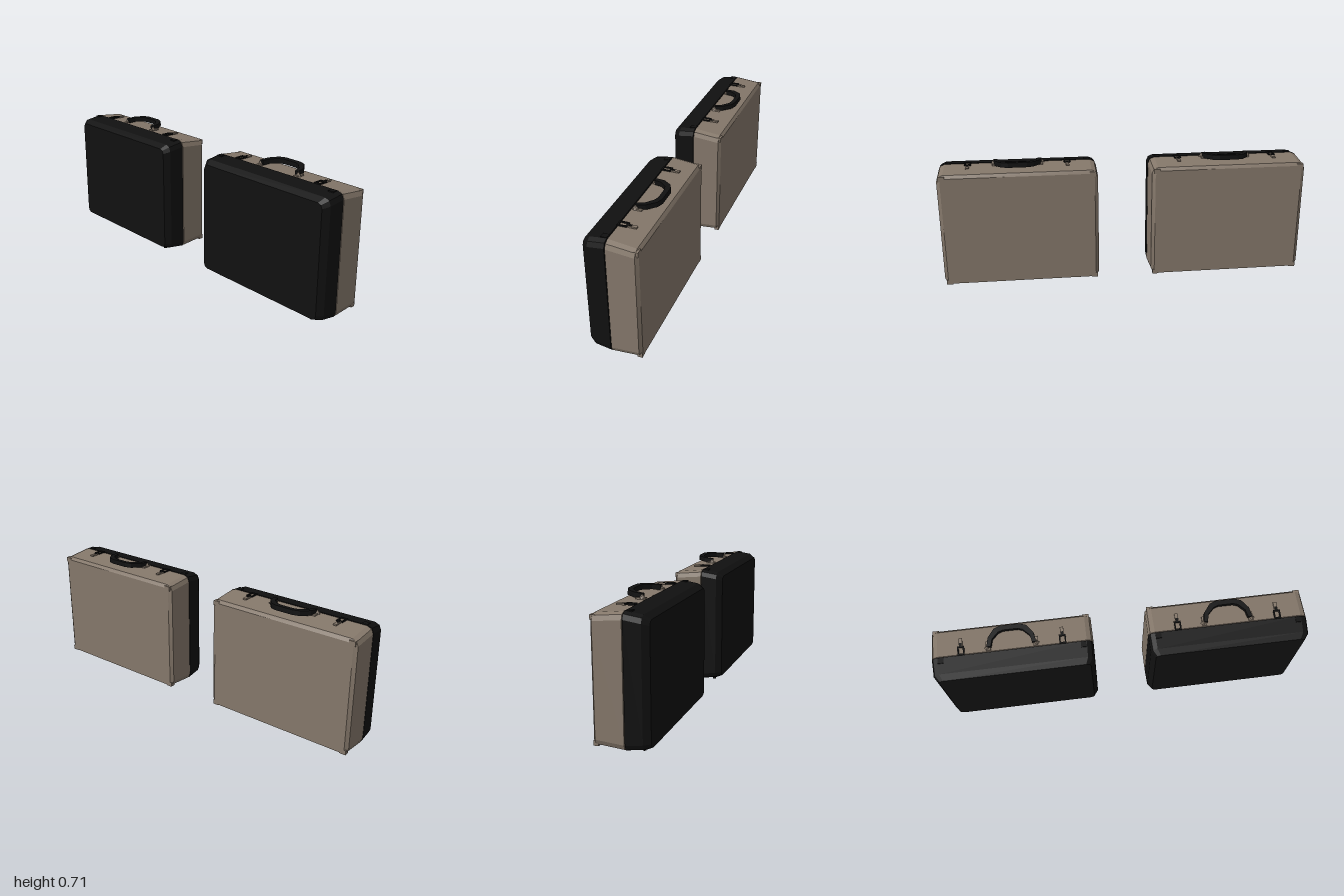
import * as THREE from 'three';
import { toCreasedNormals } from 'three/addons/utils/BufferGeometryUtils.js';

const black = new THREE.MeshStandardMaterial({ color: 0x101010 });
black.name = 'black leather';
const tan = new THREE.MeshStandardMaterial({ color: 0x84776a });
tan.name = 'taupe leather';

// Outline of a rectangle with rounded corners, counter-clockwise seen from +z
function ring({ z, w, y0, y1, r }) {
  const pts = [];
  const corners = [[w - r, y1 - r], [-w + r, y1 - r], [-w + r, y0 + r], [w - r, y0 + r]];
  corners.forEach(([cx, cy], k) => {
    for (let s = 0; s <= 2; s++) {
      const a = (k + s / 2) * Math.PI / 2;
      pts.push([cx + r * Math.cos(a), cy + r * Math.sin(a), z]);
    }
  });
  return pts;
}

// Closed shell lofted through sections ordered by rising z
function loft(sections) {
  const rings = sections.map(ring), n = rings[0].length, last = rings.length - 1;
  const pos = rings.flat(2), idx = [];
  for (let i = 0; i < last; i++) {
    for (let j = 0; j < n; j++) {
      const a = i * n + j, b = i * n + (j + 1) % n;
      idx.push(a, b, b + n, a, b + n, a + n);
    }
  }
  for (let j = 1; j < n - 1; j++) {
    idx.push(0, j + 1, j);
    idx.push(last * n, last * n + j, last * n + j + 1);
  }
  const g = new THREE.BufferGeometry();
  g.setAttribute('position', new THREE.Float32BufferAttribute(pos, 3));
  g.setIndex(idx);
  return toCreasedNormals(g, 0.3);
}

function add(parent, name, geometry, material, x = 0, y = 0, z = 0) {
  const m = new THREE.Mesh(geometry, material);
  m.name = name;
  m.position.set(x, y, z);
  parent.add(m);
  return m;
}

// Flat polygon in x and depth (-z), thickened upward
function slab(outline, height, hole) {
  const shape = new THREE.Shape(outline.map(p => new THREE.Vector2(...p)));
  if (hole) shape.holes.push(new THREE.Path(hole.map(p => new THREE.Vector2(...p))));
  return new THREE.ExtrudeGeometry(shape, { depth: height, bevelEnabled: false }).rotateX(-Math.PI / 2);
}

function briefcase() {
  const g = new THREE.Group();
  g.name = 'briefcase';

  // Two shells with a narrow gap between them
  add(g, 'frontShell', loft([
    { z: 0.021, w: 0.427, y0: 0.02, y1: 0.677, r: 0.035 },
    { z: 0.108, w: 0.424, y0: 0.032, y1: 0.664, r: 0.035 },
    { z: 0.14, w: 0.4, y0: 0.043, y1: 0.642, r: 0.025 },
  ]), black);
  add(g, 'backShell', loft([
    { z: -0.14, w: 0.408, y0: 0.036, y1: 0.642, r: 0.025 },
    { z: -0.127, w: 0.426, y0: 0.033, y1: 0.659, r: 0.033 },
    { z: 0.017, w: 0.427, y0: 0.021, y1: 0.675, r: 0.035 },
  ]), tan);

  // Carrying handle, lying back and slightly raised
  const half = [[0.13, 0], [0.12, 0.05], [0.085, 0.095], [0.05, 0.108]];
  const inner = [[0.04, 0.082], [0.065, 0.073], [0.098, 0.04], [0.108, 0]];
  const flip = list => list.map(([x, d]) => [-x, d]).reverse();
  const handle = add(g, 'handle', slab([...half, ...flip(half), ...flip(inner), ...inner], 0.026), black, 0, 0.674, -0.002);
  handle.rotation.x = 0.08;

  for (const s of [-1, 1]) {
    // Handle mounts
    add(g, 'handleMountPlate', new THREE.BoxGeometry(0.024, 0.008, 0.05), tan, s * 0.124, 0.677, -0.012);
    add(g, 'handleMountPost', new THREE.ConeGeometry(0.017, 0.026, 4), tan, s * 0.128, 0.689, -0.003);

    // Latches: black frame, taupe tongue and pin
    const x = s * 0.267;
    add(g, 'latchFrame', slab(
      [[-0.018, -0.022], [0.018, -0.022], [0.018, 0.028], [-0.018, 0.028]], 0.007,
      [[-0.011, -0.014], [-0.011, 0.02], [0.011, 0.02], [0.011, -0.014]]), black, x, 0.676, 0);
    add(g, 'latchTongue', new THREE.BoxGeometry(0.018, 0.008, 0.045), tan, x, 0.676, -0.05);
    add(g, 'latchPin', new THREE.BoxGeometry(0.012, 0.006, 0.02), black, x, 0.679, -0.036);

    // Feet under each shell
    for (const [z, mat] of [[0.075, black], [-0.06, tan]]) {
      add(g, 'foot', new THREE.CylinderGeometry(0.005, 0.009, 0.03, 6), mat, s * 0.323, 0.015, z);
    }

    // Corner guards on the back shell
    for (const y of [0.045, 0.64]) {
      add(g, 'cornerGuard', new THREE.BoxGeometry(0.034, 0.026, 0.026), tan, s * 0.4, y, -0.127);
    }
    // Front corner tab on the top edge
    add(g, 'cornerTab', new THREE.BoxGeometry(0.03, 0.008, 0.03), black, s * 0.375, 0.674, 0.038);
  }
  return g;
}

export function createModel() {
  const model = new THREE.Group();
  model.name = 'pairOfBriefcases';
  for (const s of [-1, 1]) {
    const c = briefcase();
    c.name = s < 0 ? 'rightBriefcase' : 'leftBriefcase';
    c.position.x = s * 0.573;
    model.add(c);
  }
  return model;
}
